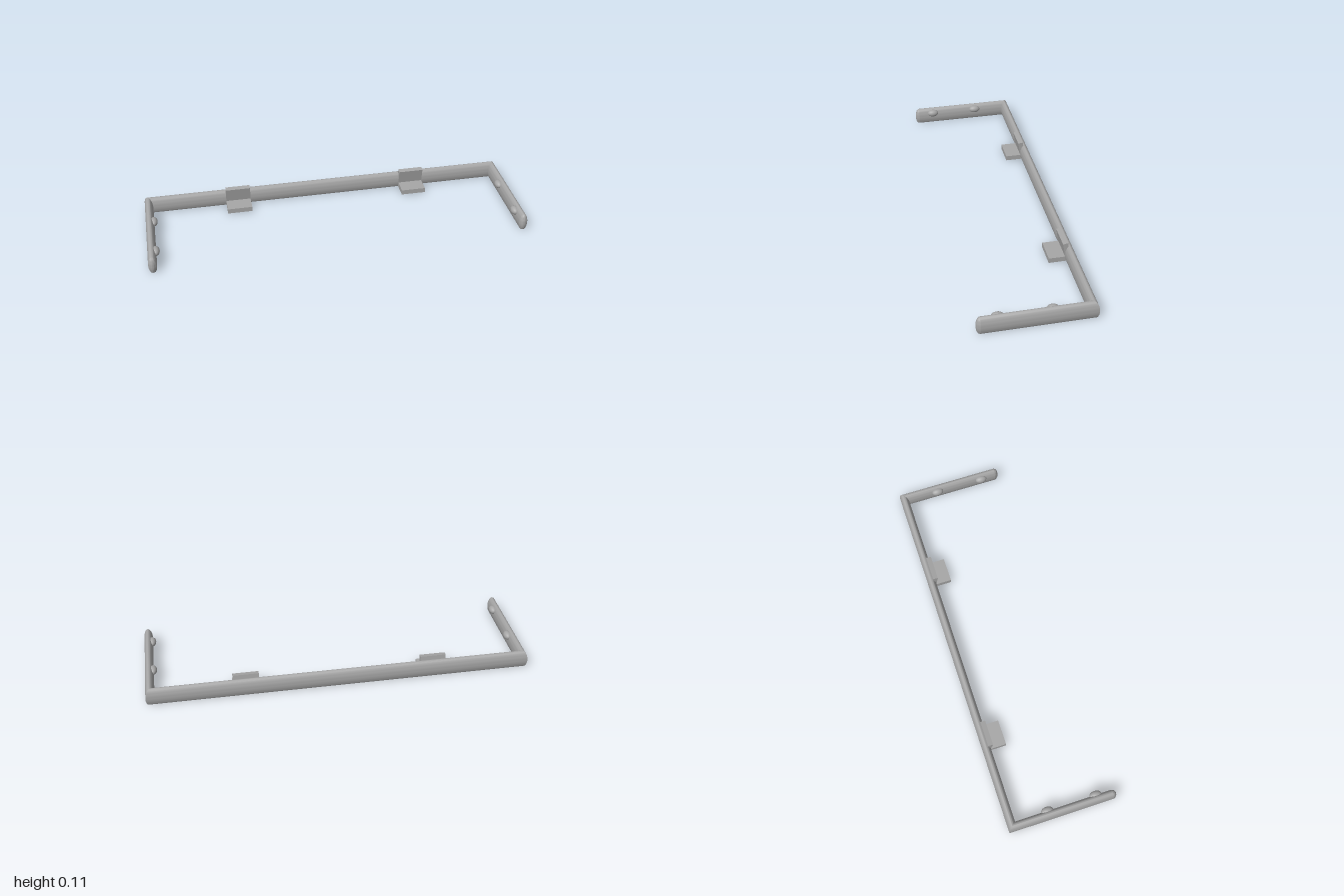
import * as THREE from 'three';
import { toCreasedNormals } from 'three/addons/utils/BufferGeometryUtils.js';

const HALF_X = 0.9775, HALF_Z = 0.2675; // centre line of the U-shaped bar
const RU = 0.0225, RV = 0.05, MID = 0.04; // section: ellipse cut flat at y = 0

// Cross-section from the inner bottom edge, over the top, to the outer bottom edge
function barSection() {
  const points = [], n = 32, start = -Math.asin(MID / RV);
  for (let i = 0; i <= n; i++) {
    const a = start + (Math.PI - 2 * start) * i / n;
    points.push([RU * Math.cos(a), MID + RV * Math.sin(a)]);
  }
  return points;
}

// Sweep the section round the U, with mitred corners and rounded free ends
function barGeometry() {
  const section = barSection(), n = section.length, stations = [], steps = 8;
  const end = (sx, t) => ({
    x: sx * HALF_X, z: HALF_Z,
    side: [-sx * Math.cos(t), 0], forward: Math.sin(t),
  });
  for (let i = steps; i >= 0; i--) stations.push(end(-1, i / steps * Math.PI / 2));
  stations.push({ x: -HALF_X, z: -HALF_Z, side: [1, 1], forward: 0 });
  stations.push({ x: HALF_X, z: -HALF_Z, side: [-1, 1], forward: 0 });
  for (let i = 0; i <= steps; i++) stations.push(end(1, i / steps * Math.PI / 2));

  const positions = [], index = [];
  stations.forEach((s, i) => {
    section.forEach(([u, v], j) => {
      positions.push(s.x + s.side[0] * u, v, s.z + s.side[1] * u + s.forward * Math.abs(u));
      if (i === stations.length - 1) return;
      const k = (j + 1) % n, a = i * n + j, d = i * n + k;
      index.push(a, a + n, d + n, a, d + n, d);
    });
  });
  const geometry = new THREE.BufferGeometry();
  geometry.setAttribute('position', new THREE.Float32BufferAttribute(positions, 3));
  geometry.setIndex(index);
  return toCreasedNormals(geometry, 0.6);
}

export function createModel() {
  const model = new THREE.Group();
  model.name = 'bracketedBar';
  const grey = new THREE.MeshStandardMaterial({ color: 0xa6a6a6 });
  grey.name = 'grey';

  const add = (parent, name, geometry, x, y, z) => {
    const mesh = new THREE.Mesh(geometry, grey);
    mesh.name = name;
    mesh.position.set(x, y, z);
    parent.add(mesh);
    return mesh;
  };

  add(model, 'bar', barGeometry(), 0, 0, 0);

  const knob = new THREE.SphereGeometry(1, 24, 16);
  const shelf = new THREE.BoxGeometry(0.134, 0.027, 0.1);
  const upright = new THREE.BoxGeometry(0.134, 0.098, 0.026);

  for (const side of [-1, 1]) {
    // Two knobs on the inner face of each arm
    for (const z of [-0.075, 0.185]) {
      add(model, 'knob', knob, side * 0.957, 0.063, z).scale.set(0.021, 0.021, 0.032);
    }
    // Bracket: a flat shelf and a plate leaning slightly forward
    const bracket = new THREE.Group();
    bracket.name = side > 0 ? 'leftBracket' : 'rightBracket';
    bracket.position.x = side * 0.49;
    add(bracket, 'shelf', shelf, 0, 0.0155, -0.212);
    add(bracket, 'upright', upright, 0, 0.06, -0.2535).rotation.x = 0.17;
    model.add(bracket);
  }
  return model;
}
